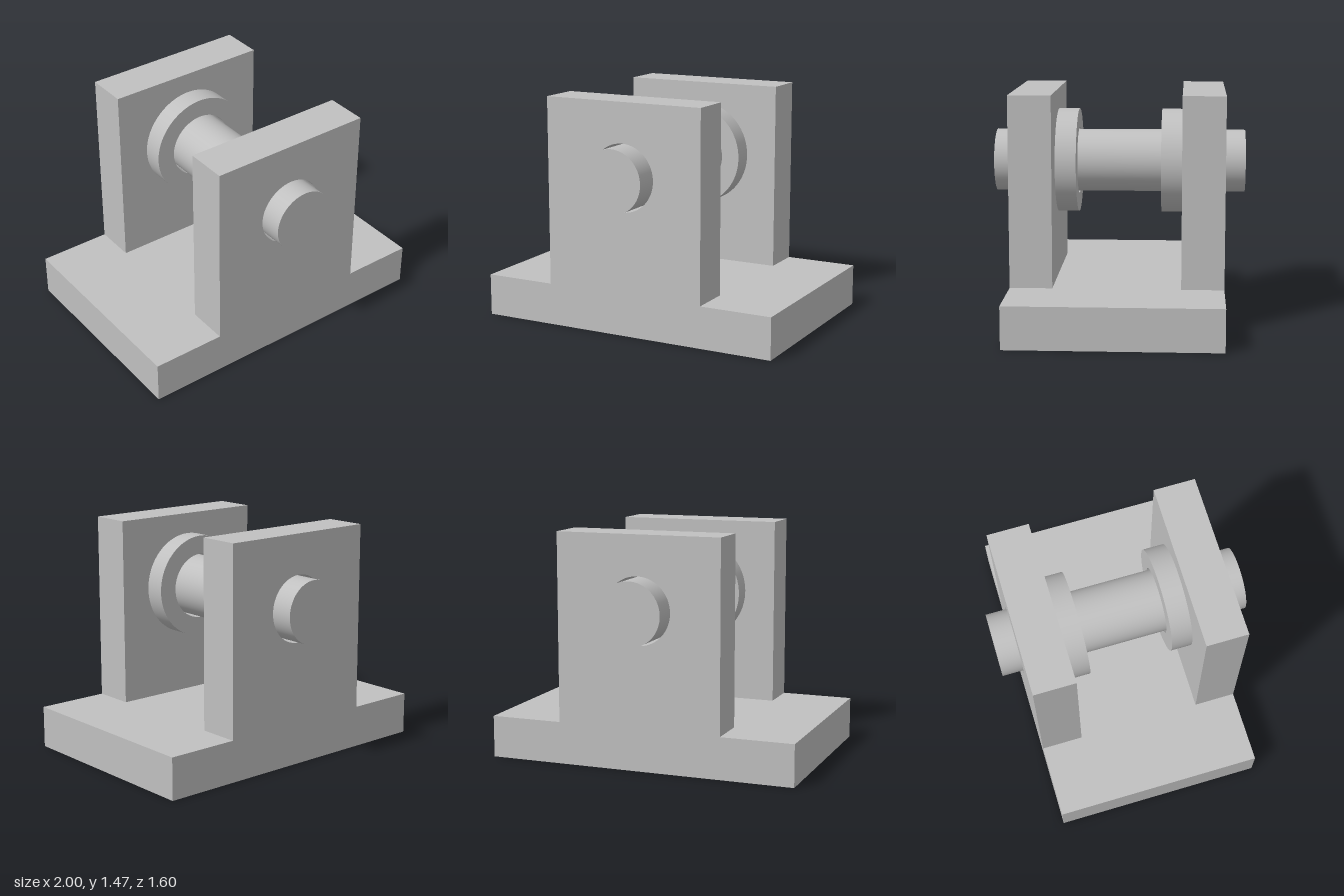
import * as THREE from 'three';

const SEGMENTS = 64;
const PIN_Y = 1;
const PIN_RADIUS = 0.2;
const BORE_RADIUS = 0.213;
const BASE_HEIGHT = 0.267;

export function createModel() {
  const model = new THREE.Group();
  model.name = 'pinBracket';
  const steel = new THREE.MeshStandardMaterial({ color: 0xc0c0c0 });
  steel.name = 'grey steel';

  const add = (name, geometry, y, z) => {
    const mesh = new THREE.Mesh(geometry, steel);
    mesh.name = name;
    mesh.position.set(0, y, z);
    model.add(mesh);
    return mesh;
  };

  // Extrudes a shape along z with the pin bore cut at its origin
  const bored = (shape, depth) => {
    shape.holes.push(new THREE.Path().absarc(0, 0, BORE_RADIUS, 0, Math.PI * 2, true));
    return new THREE.ExtrudeGeometry(shape, {
      depth, bevelEnabled: false, curveSegments: SEGMENTS,
    });
  };

  // Base plate
  add('base', new THREE.BoxGeometry(2, BASE_HEIGHT, 1.333), BASE_HEIGHT / 2, 0);

  // Upright plate, drawn around the bore centre
  const w = 0.533, top = 1.467 - PIN_Y, bottom = BASE_HEIGHT - PIN_Y;
  const plate = new THREE.Shape([
    new THREE.Vector2(-w, bottom), new THREE.Vector2(w, bottom),
    new THREE.Vector2(w, top), new THREE.Vector2(-w, top),
  ]);
  const plateGeometry = bored(plate, 0.267);

  // Collar ring on the inner face of each upright
  const ring = new THREE.Shape().absarc(0, 0, 0.333, 0, Math.PI * 2, false);
  const collarGeometry = bored(ring, 0.133);
  // Smooth the round walls by pointing their normals radially
  const pos = collarGeometry.attributes.position, nor = collarGeometry.attributes.normal;
  for (let i = 0; i < pos.count; i++) {
    if (Math.abs(nor.getZ(i)) > 0.5) continue;
    const r = Math.hypot(pos.getX(i), pos.getY(i));
    const s = r > 0.27 ? 1 / r : -1 / r;
    nor.setXYZ(i, pos.getX(i) * s, pos.getY(i) * s, 0);
  }

  for (const side of [1, -1]) {
    const label = side > 0 ? 'front' : 'back';
    add(label + 'Upright', plateGeometry, PIN_Y, side > 0 ? 0.4 : -0.667);
    add(label + 'Collar', collarGeometry, PIN_Y, side > 0 ? 0.267 : -0.4);
  }

  // Pin running through both uprights
  const pin = new THREE.CylinderGeometry(PIN_RADIUS, PIN_RADIUS, 1.6, SEGMENTS);
  pin.rotateX(Math.PI / 2);
  add('pin', pin, PIN_Y, 0);

  return model;
}
